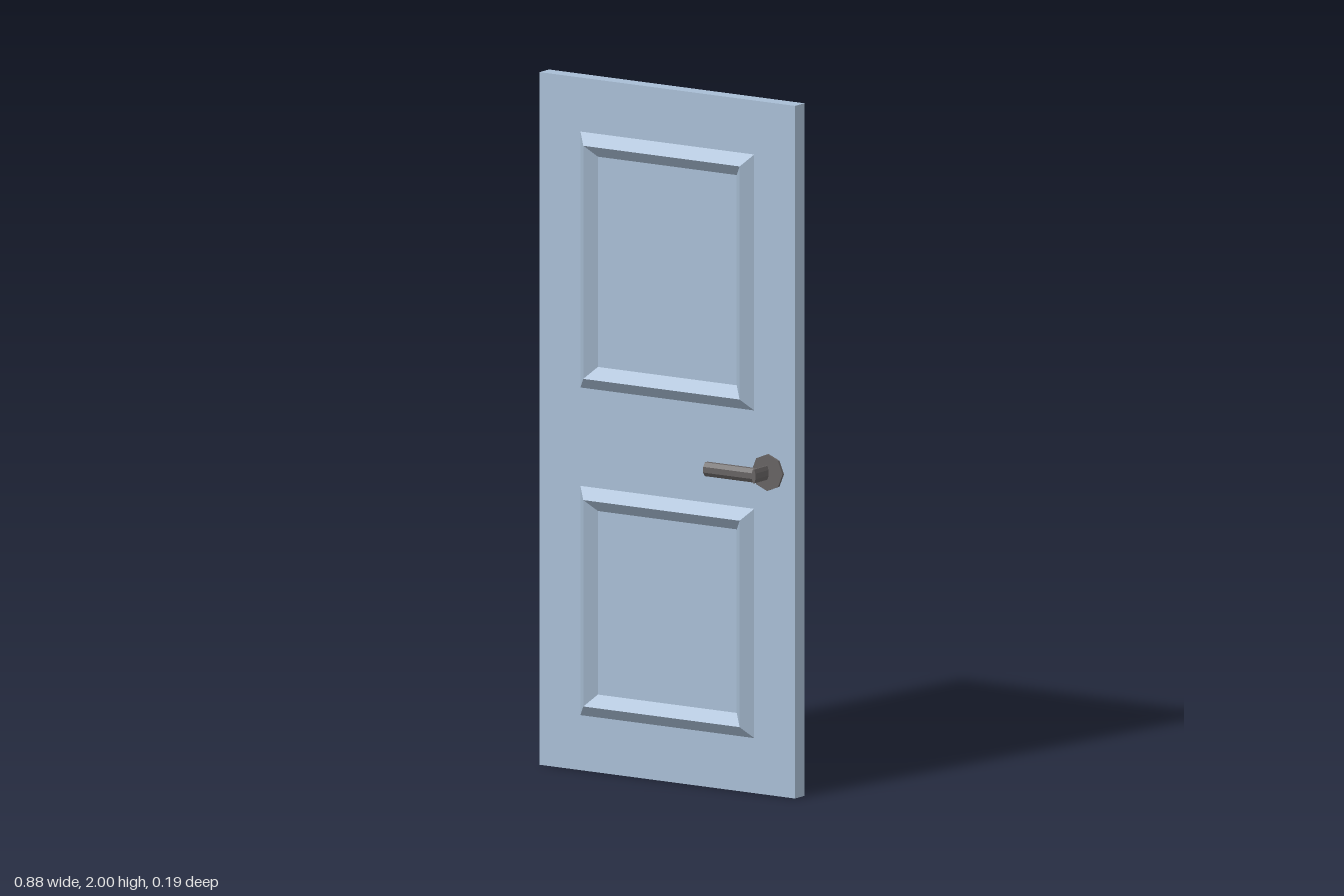
import * as THREE from 'three';

const paint = new THREE.MeshStandardMaterial({ color: 0xa8bdd4, flatShading: true });
const metal = new THREE.MeshStandardMaterial({ color: 0x666262, flatShading: true });
const FACE = 0.0235; // half the thickness of the slab

function add(parent, name, geometry, material) {
  const mesh = new THREE.Mesh(geometry, material);
  mesh.name = name;
  parent.add(mesh);
  return mesh;
}

// Mitred rectangular frame with a triangular cross-section, raised from the slab
function mouldingGeometry(y0, y1) {
  const profile = [[0, FACE], [1, 0.053], [2, FACE]]; // [steps inward, z]
  const rings = profile.map(([s, z]) => {
    const x = 0.298 - s * 0.03, b = y0 + s * 0.033, t = y1 - s * 0.033;
    return [[-x, b, z], [x, b, z], [x, t, z], [-x, t, z]];
  });
  const positions = [];
  for (let r = 0; r < 2; r++) {
    for (let i = 0; i < 4; i++) {
      const j = (i + 1) % 4;
      const a = rings[r][i], b = rings[r][j], c = rings[r + 1][j], d = rings[r + 1][i];
      for (const p of [a, b, c, a, c, d]) positions.push(...p);
    }
  }
  const geometry = new THREE.BufferGeometry();
  geometry.setAttribute('position', new THREE.Float32BufferAttribute(positions, 3));
  geometry.computeVertexNormals();
  return geometry;
}

// Octagonal bar along y with flats facing the axes, sized by its flats
function octagonBar(width, length, depth) {
  const g = new THREE.CylinderGeometry(0.5, 0.5, 1, 8);
  g.rotateY(Math.PI / 8);
  const k = 1 / Math.cos(Math.PI / 8);
  return g.scale(width * k, length, depth * k);
}

// Lever handle on the +z side
function createHandle(name) {
  const handle = new THREE.Group();
  handle.name = name;

  const rosette = new THREE.CylinderGeometry(0.053, 0.053, 0.012, 8).rotateX(Math.PI / 2);
  add(handle, 'rosette', rosette, metal).position.set(0.347, 0, 0.0248);

  const stem = octagonBar(0.012, 0.073, 0.04).rotateX(Math.PI / 2);
  add(handle, 'stem', stem, metal).position.set(0.346, 0, 0.0605);

  const lever = octagonBar(0.04, 0.172, 0.03).rotateZ(Math.PI / 2);
  add(handle, 'lever', lever, metal).position.set(0.259, 0, 0.082);

  handle.position.y = 0.932;
  return handle;
}

export function createModel() {
  const door = new THREE.Group();
  door.name = 'door';

  add(door, 'slab', new THREE.BoxGeometry(0.876, 2, FACE * 2), paint).position.y = 1;

  // Two panel mouldings on each face
  const panels = { upper: [1.105, 1.844], lower: [0.159, 0.821] };
  for (const [level, [y0, y1]] of Object.entries(panels)) {
    const geometry = mouldingGeometry(y0, y1);
    add(door, level + 'FrontMoulding', geometry, paint);
    add(door, level + 'BackMoulding', geometry, paint).rotation.y = Math.PI;
  }

  // Matching handles, mirrored through the slab
  door.add(createHandle('frontHandle'));
  const back = createHandle('backHandle');
  back.scale.z = -1;
  door.add(back);

  return door;
}
